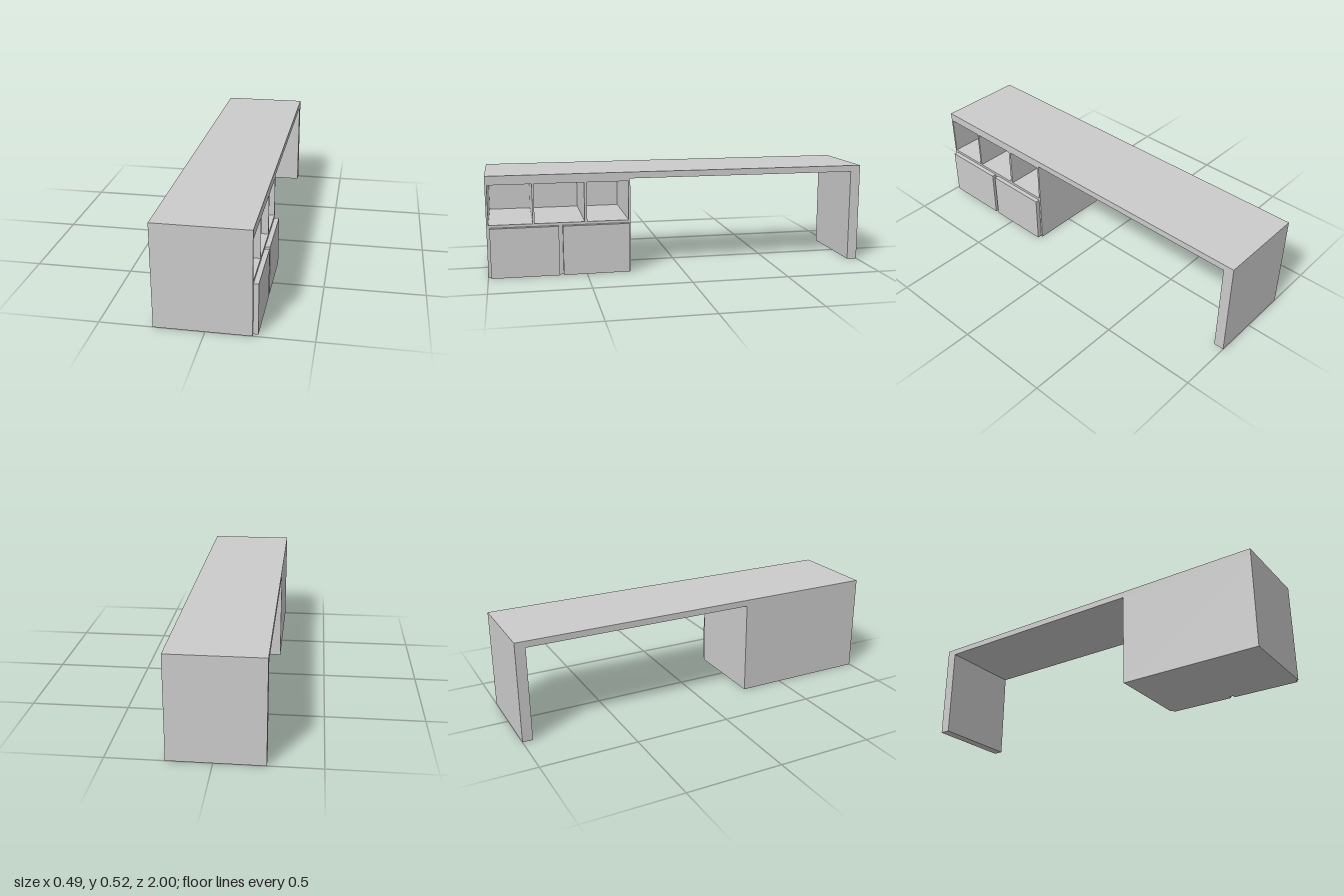
import * as THREE from 'three';

const material = new THREE.MeshStandardMaterial({ color: 0xcccccc, flatShading: true });

// Desk carcass limits
const BACK = -0.243, FRONT = 0.218, HEIGHT = 0.523, UNDER = 0.49;
const BACK_PANEL = 0.02;

function add(group, name, geometry) {
  const mesh = new THREE.Mesh(geometry, material);
  mesh.name = name;
  group.add(mesh);
  return mesh;
}

// Box given by its limits on each axis
function block(group, name, [x0, x1], [y0, y1], [z0, z1]) {
  const mesh = add(group, name, new THREE.BoxGeometry(x1 - x0, y1 - y0, z1 - z0));
  mesh.position.set((x0 + x1) / 2, (y0 + y1) / 2, (z0 + z1) / 2);
  return mesh;
}

// Rectangle in the side plane; z is mirrored because the extrusion is turned to +x
function sideRect(PathType, [z0, z1], [y0, y1]) {
  return new PathType([
    new THREE.Vector2(-z1, y0), new THREE.Vector2(-z0, y0),
    new THREE.Vector2(-z0, y1), new THREE.Vector2(-z1, y1),
  ]);
}

export function createModel() {
  const desk = new THREE.Group();
  desk.name = 'desk';

  // Long worktop and the panel leg at the far end
  block(desk, 'worktop', [BACK, FRONT], [UNDER, HEIGHT], [-1, 1]);
  block(desk, 'panelLeg', [BACK, FRONT], [0, UNDER], [-1, -0.947]);

  // Cabinet with three open compartments
  const cabinetZ = [0.268, 1];
  const cabinet = new THREE.Group();
  cabinet.name = 'cabinet';
  desk.add(cabinet);

  const profile = sideRect(THREE.Shape, cabinetZ, [0, UNDER]);
  for (const span of [[0.278, 0.493], [0.506, 0.76], [0.77, 0.99]]) {
    profile.holes.push(sideRect(THREE.Path, span, [0.273, 0.477]));
  }
  const body = new THREE.ExtrudeGeometry(profile, {
    depth: FRONT - BACK - BACK_PANEL, bevelEnabled: false,
  });
  body.rotateY(Math.PI / 2);
  add(cabinet, 'cabinetBody', body).position.x = BACK + BACK_PANEL;
  block(cabinet, 'backPanel', [BACK, BACK + BACK_PANEL], [0, UNDER], cabinetZ);

  // Two protruding drawer fronts
  for (const span of [[0.278, 0.62], [0.64, 0.985]]) {
    block(cabinet, 'drawerFront', [FRONT, 0.242], [0.002, 0.259], span);
  }

  return desk;
}
